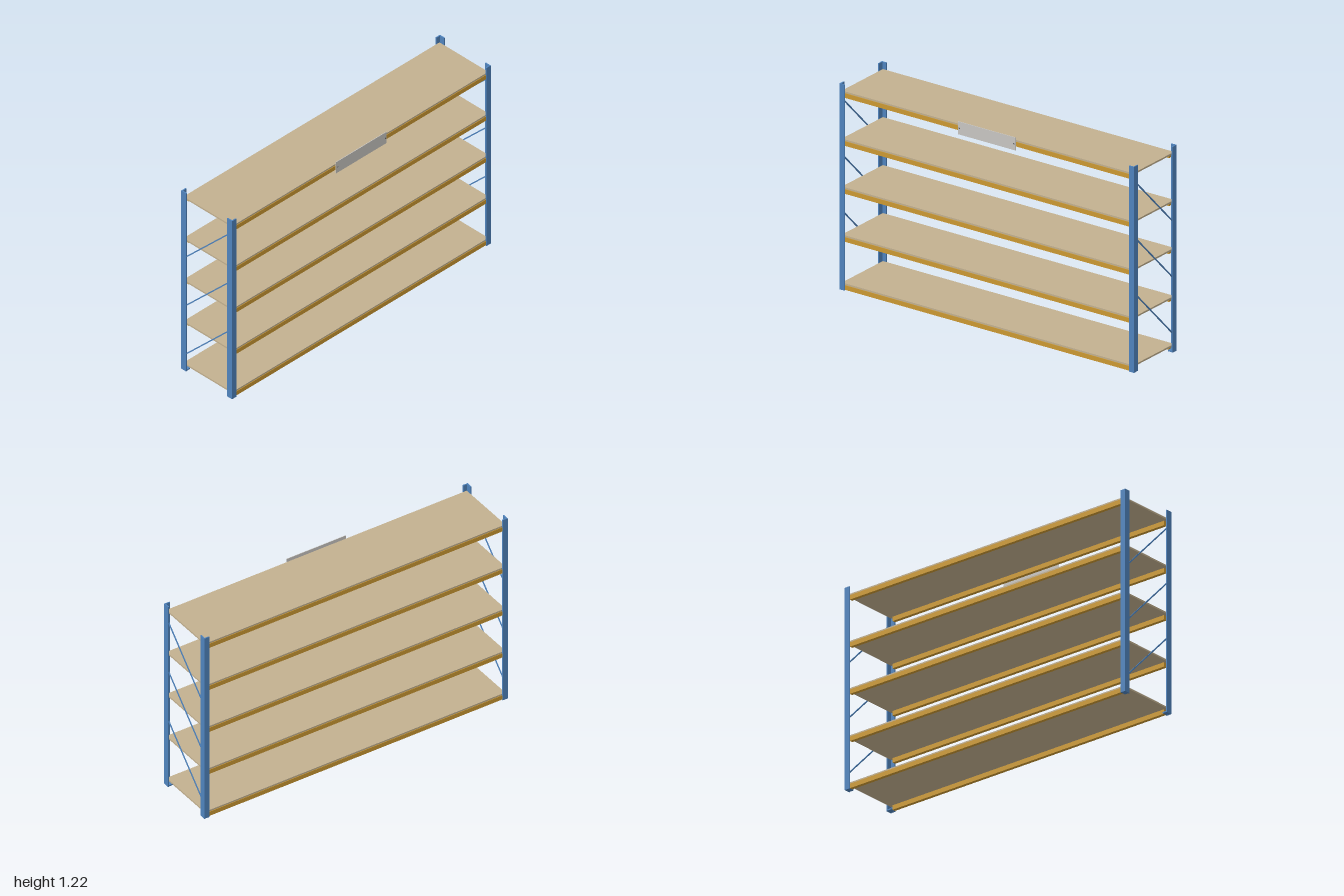
import * as THREE from 'three';

const material = (name, color) => {
  const m = new THREE.MeshStandardMaterial({ color });
  m.name = name;
  return m;
};

export function createModel() {
  const blue = material('frame blue', 0x4f83bd);
  const orange = material('beam orange', 0xcc9933);
  const tan = material('board tan', 0xc2b08f);
  const grey = material('plate grey', 0xc8c6c2);
  const dark = material('rivet grey', 0x6a6a6c);

  const root = new THREE.Group();
  root.name = 'shelvingRack';
  const add = (name, geometry, mat, x, y, z) => {
    const mesh = new THREE.Mesh(geometry, mat);
    mesh.name = name;
    mesh.position.set(x, y, z);
    root.add(mesh);
    return mesh;
  };
  const box = (name, mat, w, h, d, x, y, z) =>
    add(name, new THREE.BoxGeometry(w, h, d), mat, x, y, z);

  const H = 1.22, X = 1, Z = 0.197, T = 0.007, FW = 0.033, FD = 0.039;

  // Corner posts: angle profile wrapped around each corner, on a foot plate
  for (const sx of [-1, 1]) {
    for (const sz of [-1, 1]) {
      const corners = [
        [X, Z], [X, Z - FD], [X - T, Z - FD],
        [X - T, Z - T], [X - FW, Z - T], [X - FW, Z],
      ].map(([x, z]) => new THREE.Vector2(x * sx, -z * sz));
      const profile = new THREE.ExtrudeGeometry(new THREE.Shape(corners), { depth: H, bevelEnabled: false });
      profile.rotateX(-Math.PI / 2);
      add('post', profile, blue, 0, 0, 0);
      box('footPlate', blue, FW - 0.003, 0.008, FD - 0.003,
        sx * (X - FW / 2), 0.005, sz * (Z - FD / 2));
    }

    // Diagonal braces, each falling from front to back
    for (let i = 0; i < 3; i++) {
      const brace = box('diagonalBrace', blue, 0.005, Math.hypot(0.33, 0.333), 0.007,
        sx * 0.994, 0.281 + i * 0.3325, 0);
      brace.rotation.x = Math.atan2(0.33, 0.333);
    }
  }

  // Five levels: a board resting on a front and a back beam
  for (let i = 0; i < 5; i++) {
    const top = 0.04 + i * 0.2845;
    box('shelfBoard', tan, 1.978, 0.01, 0.378, 0, top - 0.005, 0);
    for (const sz of [-1, 1]) {
      box('beam', orange, 1.934, 0.027, 0.02, 0, top - 0.0235, sz * 0.182);
    }
  }

  // Blank plate on the top front beam, with a rivet at each end
  box('signPlate', grey, 0.39, 0.076, 0.004, 0, 1.157, 0.195);
  for (const sx of [-1, 1]) {
    const rivet = new THREE.CylinderGeometry(0.004, 0.004, 0.007, 12).rotateX(Math.PI / 2);
    add('rivet', rivet, dark, sx * 0.185, 1.157, 0.1955);
  }
  return root;
}
